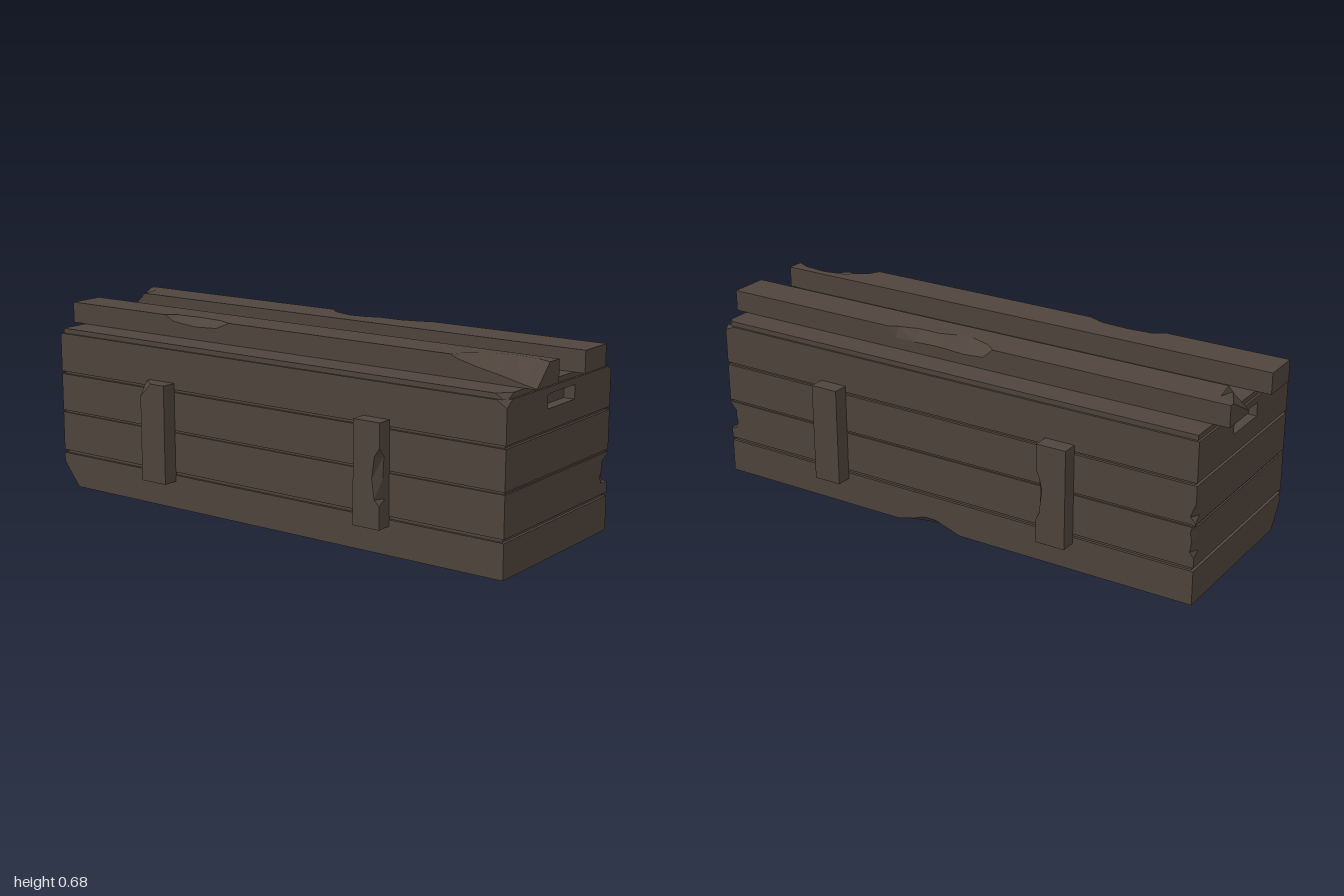
import * as THREE from 'three';

const wood = new THREE.MeshStandardMaterial({ color: 0x50453d, flatShading: true });

// Chamfer size [du, dv] at w for a chip given as [w, du, dv] points
function chipAt(chip, w) {
  if (!chip) return [0, 0];
  for (let i = 0; i < chip.length - 1; i++) {
    const p = chip[i], q = chip[i + 1];
    if (w >= p[0] && w <= q[0]) {
      const t = (w - p[0]) / (q[0] - p[0]);
      return [p[1] + (q[1] - p[1]) * t, p[2] + (q[2] - p[2]) * t];
    }
  }
  return [0, 0];
}

// Beam of rectangular section whose four long edges may carry chips.
// Along z: (u,v) = (x,y). Along y: (u,v) = (z,x).
// Edges: 0 = (u0,v0), 1 = (u1,v0), 2 = (u1,v1), 3 = (u0,v1)
function beam(name, axis, [u0, u1], [v0, v1], [w0, w1], chips = {}) {
  const stations = [...new Set([w0, w1, ...Object.values(chips).flat().map((p) => p[0])])].sort((a, b) => a - b);
  const place = (u, v, w) => (axis === 'z' ? [u, v, w] : [v, w, u]);
  const rings = stations.map((w) => {
    const [a, b, c, d] = [0, 1, 2, 3].map((k) => chipAt(chips[k], w));
    return [
      [u0, v0 + a[1]], [u0 + a[0], v0], [u1 - b[0], v0], [u1, v0 + b[1]],
      [u1, v1 - c[1]], [u1 - c[0], v1], [u0 + d[0], v1], [u0, v1 - d[1]],
    ].map(([u, v]) => place(u, v, w));
  });
  const pos = [];
  const tri = (...pts) => pts.forEach((p) => pos.push(...p));
  for (let s = 0; s < rings.length - 1; s++) {
    const r = rings[s], n = rings[s + 1];
    for (let i = 0; i < 8; i++) {
      const j = (i + 1) % 8;
      tri(r[i], r[j], n[j]);
      tri(r[i], n[j], n[i]);
    }
  }
  const first = rings[0], last = rings[rings.length - 1];
  for (let i = 1; i < 7; i++) {
    tri(first[0], first[i + 1], first[i]);
    tri(last[0], last[i], last[i + 1]);
  }
  const geo = new THREE.BufferGeometry();
  geo.setAttribute('position', new THREE.Float32BufferAttribute(pos, 3));
  geo.computeVertexNormals();
  const mesh = new THREE.Mesh(geo, wood);
  mesh.name = name;
  return mesh;
}

// End board with a hand slot; the chipped one has its upper corners knocked off
function endPanel(name, chipped) {
  const X = 0.343, bottom = 0.437, top = 0.58, depth = 0.04;
  const shape = new THREE.Shape();
  shape.moveTo(-X, bottom);
  shape.lineTo(X, bottom);
  if (chipped) {
    shape.lineTo(X, 0.565);
    shape.lineTo(0.325, top);
    shape.lineTo(-0.31, top);
    shape.lineTo(-X, 0.557);
  } else {
    shape.lineTo(X, top);
    shape.lineTo(-X, top);
  }
  const slot = new THREE.Path();
  slot.moveTo(-0.087, 0.508);
  slot.lineTo(-0.087, 0.557);
  slot.lineTo(0.09, 0.557);
  slot.lineTo(0.09, 0.508);
  shape.holes.push(slot);
  const geo = new THREE.ExtrudeGeometry(shape, { depth, bevelEnabled: false });
  // Taper the chips to nothing at the inner face
  const p = geo.attributes.position;
  for (let i = 0; i < p.count; i++) {
    if (p.getZ(i) < 0.001 && Math.abs(p.getX(i)) > 0.3 && p.getY(i) > 0.55) {
      p.setXY(i, Math.sign(p.getX(i)) * X, top);
    }
  }
  geo.computeVertexNormals();
  const mesh = new THREE.Mesh(geo, wood);
  mesh.name = name;
  return mesh;
}

export function createModel() {
  const group = new THREE.Group();
  const X = [-0.343, 0.343], Z = [-0.95, 0.965];

  // Stacked planks of the body
  group.add(
    beam('bottomPlank', 'z', X, [0, 0.123], Z, {
      0: [[-0.95, 0.06, 0.09], [-0.92, 0.04, 0.05], [-0.88, 0, 0]],
      1: [[-0.05, 0, 0], [0.0, 0.03, 0.018], [0.05, 0.045, 0.034], [0.1, 0.04, 0.034], [0.15, 0.05, 0.015], [0.21, 0, 0]],
    }),
    beam('lowerPlank', 'y', Z, X, [0.135, 0.28], {
      2: [[0.174, 0, 0], [0.176, 0.02, 0.045], [0.2, 0.03, 0.052], [0.225, 0.025, 0.042], [0.25, 0.025, 0.045], [0.275, 0, 0]],
      3: [[0.17, 0, 0], [0.19, 0.015, 0.03], [0.23, 0.01, 0.03], [0.26, 0.016, 0.03], [0.28, 0.01, 0.02]],
    }),
    beam('middlePlank', 'y', Z, X, [0.288, 0.427], {
      3: [[0.295, 0, 0], [0.315, 0.018, 0.03], [0.34, 0.01, 0.025], [0.365, 0, 0]],
    }),
    beam('upperPlank', 'z', X, [0.437, 0.58], [Z[0] + 0.04, Z[1] - 0.04]),
  );

  // Slotted end boards
  const front = endPanel('frontEndBoard', true);
  front.position.z = Z[1] - 0.04;
  const back = endPanel('backEndBoard', false);
  back.rotation.y = Math.PI;
  back.position.z = Z[0] + 0.04;
  group.add(front, back);

  // Recessed grooves between planks
  for (const [y0, y1, inset] of [[0.123, 0.135, 0.01], [0.28, 0.288, 0.006], [0.427, 0.437, 0.01]]) {
    group.add(beam('groove', 'y', [Z[0] + inset, Z[1] - inset], [X[0] + inset, X[1] - inset], [y0, y1]));
  }

  // Lid board with clipped front corners
  group.add(beam('lid', 'y', [-0.942, 0.957], [-0.335, 0.335], [0.58, 0.598], {
    1: [[0.58, 0.01, 0.015], [0.598, 0.04, 0.045]],
    2: [[0.58, 0.01, 0.01], [0.598, 0.02, 0.018]],
  }));

  // Two long rails on top, with broken edges and ends
  group.add(
    beam('rightRail', 'z', [-0.222, -0.083], [0.598, 0.675], [-1, 1], {
      3: [[-0.54, 0, 0], [-0.5, 0.026, 0.02], [-0.4, 0.033, 0.03], [-0.3, 0.025, 0.025], [-0.24, 0, 0],
        [0.68, 0, 0], [0.7, 0.04, 0.01], [0.78, 0.095, 0.03], [0.86, 0.11, 0.045], [0.95, 0.1, 0.065], [1, 0.077, 0.075]],
    }),
    beam('leftRail', 'z', [0.09, 0.234], [0.598, 0.675], [-1, 1], {
      2: [[-0.12, 0, 0], [-0.08, 0.035, 0.035], [0, 0.062, 0.04], [0.06, 0.055, 0.036],
        [0.12, 0.035, 0.034], [0.2, 0.036, 0.037], [0.28, 0.015, 0.038], [0.31, 0, 0]],
      3: [[-1, 0.125, 0.07], [-0.94, 0.09, 0.018], [-0.925, 0, 0]],
    }),
  );

  // Upright battens on both sides
  const Y = [0.1, 0.46], backZ = [-0.505, -0.395], frontZ = [0.425, 0.53];
  const left = [0.34, 0.4], right = [-0.4, -0.34];
  group.add(
    beam('leftFrontBatten', 'y', frontZ, left, Y),
    beam('leftBackBatten', 'y', backZ, left, Y, {
      2: [[0.185, 0, 0], [0.21, 0.012, 0.03], [0.3, 0.022, 0.025], [0.34, 0.012, 0.03], [0.365, 0, 0]],
    }),
    beam('rightFrontBatten', 'y', frontZ, right, Y, {
      1: [[0.18, 0, 0], [0.2, 0.02, 0.033], [0.27, 0.03, 0.02], [0.345, 0.02, 0.026], [0.375, 0, 0]],
    }),
    beam('rightBackBatten', 'y', backZ, right, Y, {
      0: [[0.41, 0, 0], [0.46, 0.05, 0.035]],
    }),
  );
  return group;
}
